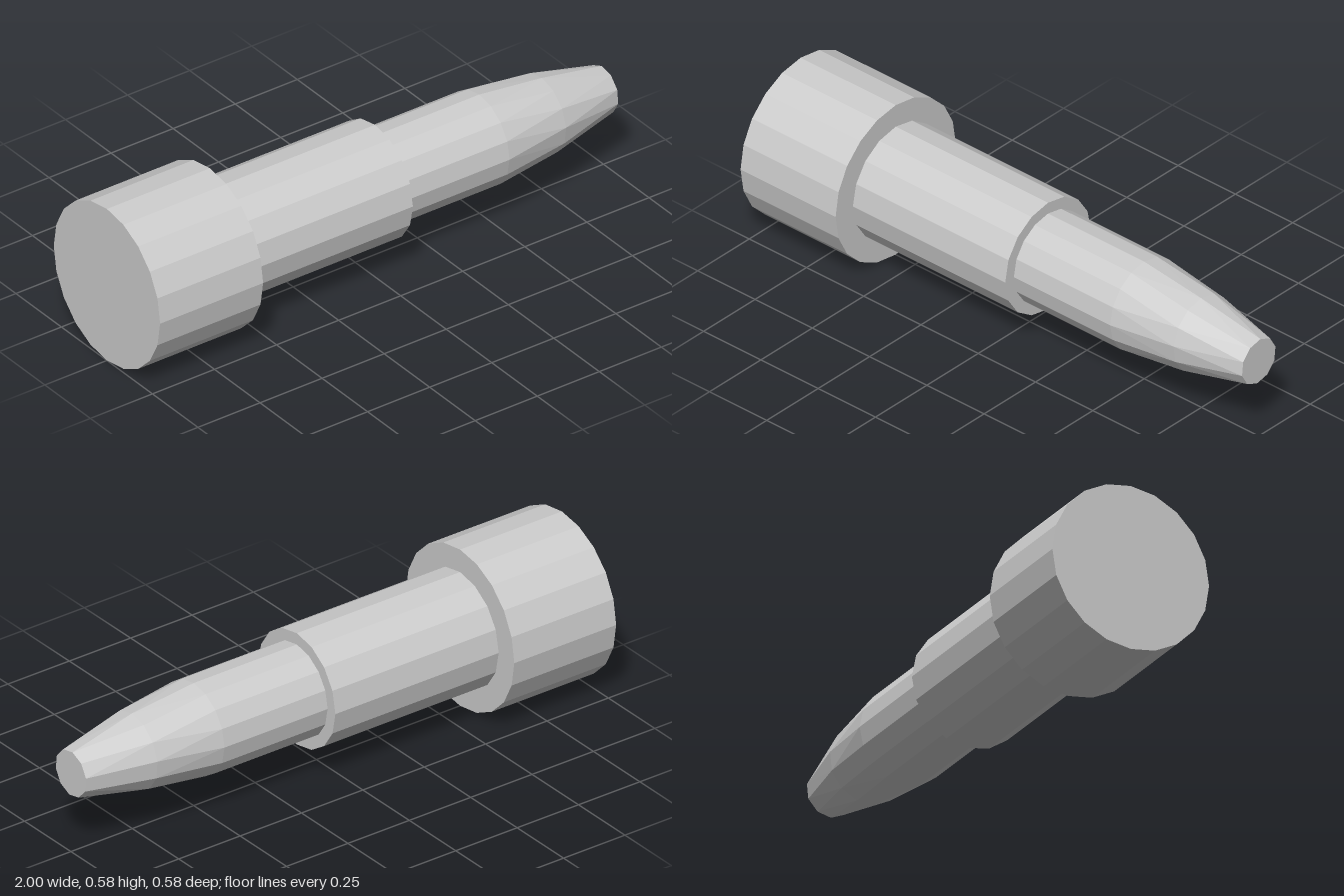
import * as THREE from 'three';

const AXIS_Y = 0.292;
const material = new THREE.MeshStandardMaterial({ color: 0xcccccc, flatShading: true, side: THREE.DoubleSide });

// Horizontal cylinder between two x positions
function barrel(name, radius, x0, x1, sides) {
  const geometry = new THREE.CylinderGeometry(radius, radius, x1 - x0, sides);
  geometry.rotateZ(-Math.PI / 2);
  geometry.translate((x0 + x1) / 2, AXIS_Y, 0);
  const mesh = new THREE.Mesh(geometry, material);
  mesh.name = name;
  return mesh;
}

// Point i of a ring round the x axis; may run past the ring's last point
function ringPoint({ x, r, sides, start }, i) {
  const a = start + (i / sides) * Math.PI * 2;
  return [x, AXIS_Y + r * Math.sin(a), r * Math.cos(a)];
}

// Triangles joining two rings that may differ in number of sides
function stitch(out, a, b) {
  let i = 0, j = 0;
  while (i < a.sides || j < b.sides) {
    const nextA = a.start + ((i + 0.5) / a.sides) * Math.PI * 2;
    const nextB = b.start + ((j + 0.5) / b.sides) * Math.PI * 2;
    const stepA = j >= b.sides || (i < a.sides && nextA <= nextB);
    out.push(...ringPoint(a, i), ...ringPoint(b, j));
    out.push(...(stepA ? ringPoint(a, ++i) : ringPoint(b, ++j)));
  }
}

// Tapered nose with fewer sides towards the blunt tip
function nose() {
  const rings = [
    { x: 0.08, r: 0.166, sides: 16, start: 0 },
    { x: 0.5, r: 0.166, sides: 16, start: 0 },
    { x: 0.75, r: 0.137, sides: 13, start: 0.1 },
    { x: 1, r: 0.083, sides: 10, start: -0.21 },
  ];
  const positions = [];
  for (let k = 0; k < rings.length - 1; k++) stitch(positions, rings[k], rings[k + 1]);
  // Flat tip
  const tip = rings[rings.length - 1];
  for (let i = 0; i < tip.sides; i++) {
    positions.push(tip.x, AXIS_Y, 0, ...ringPoint(tip, i + 1), ...ringPoint(tip, i));
  }
  const geometry = new THREE.BufferGeometry();
  geometry.setAttribute('position', new THREE.Float32BufferAttribute(positions, 3));
  geometry.computeVertexNormals();
  const mesh = new THREE.Mesh(geometry, material);
  mesh.name = 'taperedNose';
  return mesh;
}

export function createModel() {
  const group = new THREE.Group();
  group.name = 'steppedPin';
  group.add(
    barrel('head', 0.292, -1, -0.585, 20),
    barrel('shank', 0.208, -0.585, 0.08, 16),
    nose(),
  );
  return group;
}
